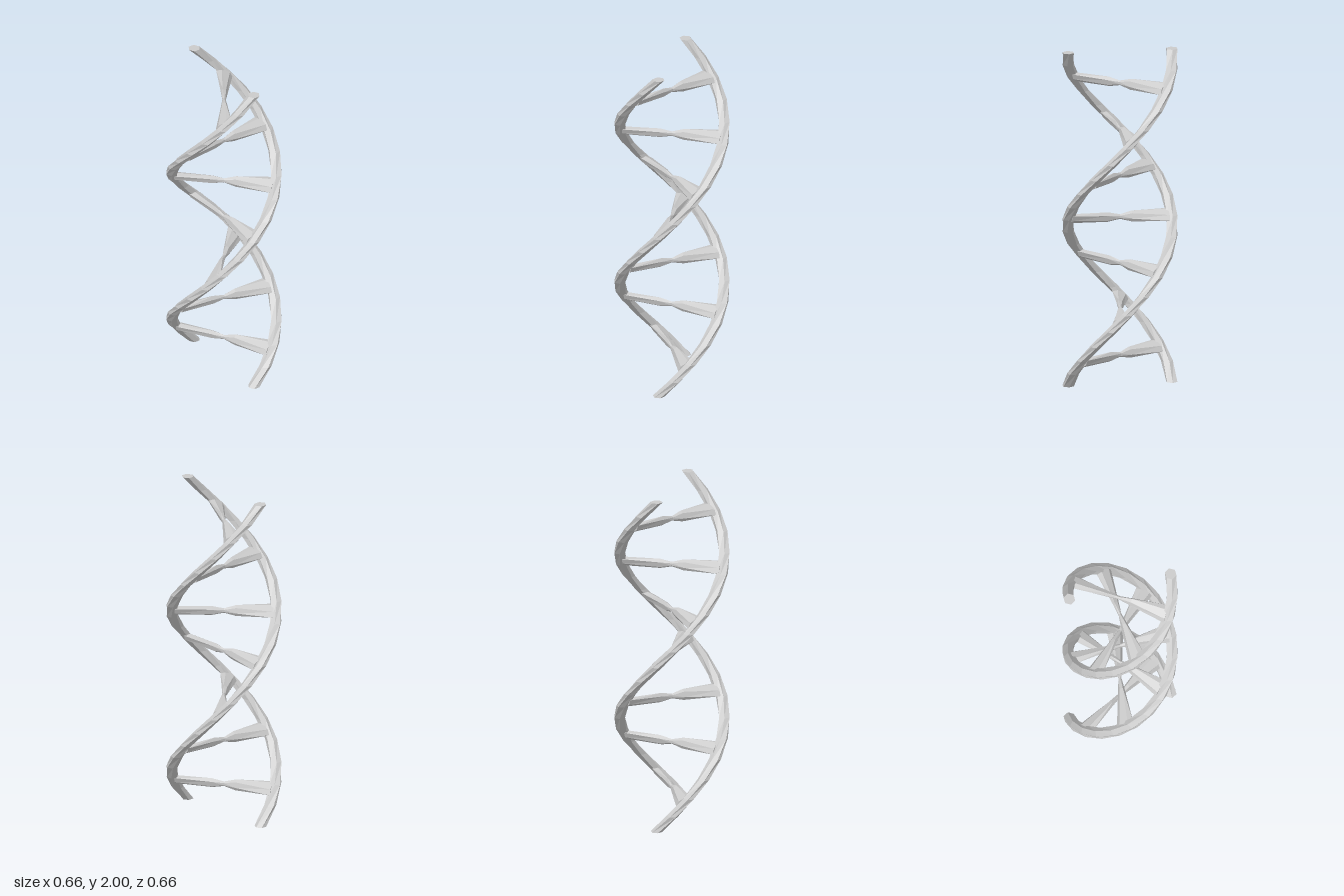
import * as THREE from 'three';

const material = new THREE.MeshStandardMaterial({ color: 0xcccccc, flatShading: true });
const SIDES = 6;

// Skin a row of six-sided rings and cap both ends
function loft(rings, name) {
  const pos = [], index = [];
  rings.forEach(ring => ring.forEach(p => pos.push(p.x, p.y, p.z)));
  for (let i = 0; i < rings.length - 1; i++) {
    for (let k = 0; k < SIDES; k++) {
      const a = i * SIDES + k, b = i * SIDES + (k + 1) % SIDES;
      index.push(a, b, b + SIDES, a, b + SIDES, a + SIDES);
    }
  }
  const last = (rings.length - 1) * SIDES;
  for (let k = 1; k < SIDES - 1; k++) {
    index.push(0, k + 1, k, last, last + k, last + k + 1);
  }
  const geometry = new THREE.BufferGeometry();
  geometry.setAttribute('position', new THREE.Float32BufferAttribute(pos, 3));
  geometry.setIndex(index);
  const flat = geometry.toNonIndexed();
  flat.computeVertexNormals();
  const mesh = new THREE.Mesh(flat, material);
  mesh.name = name;
  return mesh;
}

// Hexagon around a centre; u x v points along the direction of the loft
function hexagon(center, u, v, su, sv) {
  return Array.from({ length: SIDES }, (_, k) => {
    const t = k * Math.PI * 2 / SIDES;
    return center.clone()
      .addScaledVector(u, su * Math.cos(t))
      .addScaledVector(v, sv * Math.sin(t));
  });
}

// One full turn, made of level hexagons with a flat side facing outward
function strand(phase, name) {
  const rings = [], steps = 20;
  for (let i = 0; i <= steps; i++) {
    const y = 2 * i / steps, a = Math.PI * y + phase;
    const along = new THREE.Vector3(Math.cos(a), 0, -Math.sin(a));
    const inward = new THREE.Vector3(-Math.sin(a), 0, -Math.cos(a));
    const center = inward.clone().multiplyScalar(-0.302).setY(y);
    rings.push(hexagon(center, along, inward, 0.035, 0.035));
  }
  return loft(rings, name);
}

// Rung: twisted like a propeller, pinched in the middle
// each station: distance from axis, tilt in degrees, half width, half thickness
const stations = [
  [-0.285, 152, 0.054, 0.024],
  [-0.07, 105, 0.032, 0.018],
  [0, 90, 0.014, 0.01],
  [0.07, 75, 0.032, 0.018],
  [0.285, 28, 0.054, 0.024],
];

function rung(y) {
  const rings = stations.map(([r, tilt, width, thick]) => {
    const t = THREE.MathUtils.degToRad(tilt);
    const u = new THREE.Vector3(Math.cos(t), Math.sin(t), 0);
    const v = new THREE.Vector3(-Math.sin(t), Math.cos(t), 0);
    return hexagon(new THREE.Vector3(0, 0, r), u, v, width, thick);
  });
  const mesh = loft(rings, 'rung');
  mesh.position.y = y;
  mesh.rotation.y = Math.PI * y;
  return mesh;
}

export function createModel() {
  const model = new THREE.Group();
  model.name = 'doubleHelix';
  model.add(strand(0, 'strandA'), strand(Math.PI, 'strandB'));

  const rungs = new THREE.Group();
  rungs.name = 'rungs';
  for (const y of [0.175, 0.451, 0.727, 1.003, 1.252, 1.528, 1.806]) rungs.add(rung(y));
  model.add(rungs);
  return model;
}
